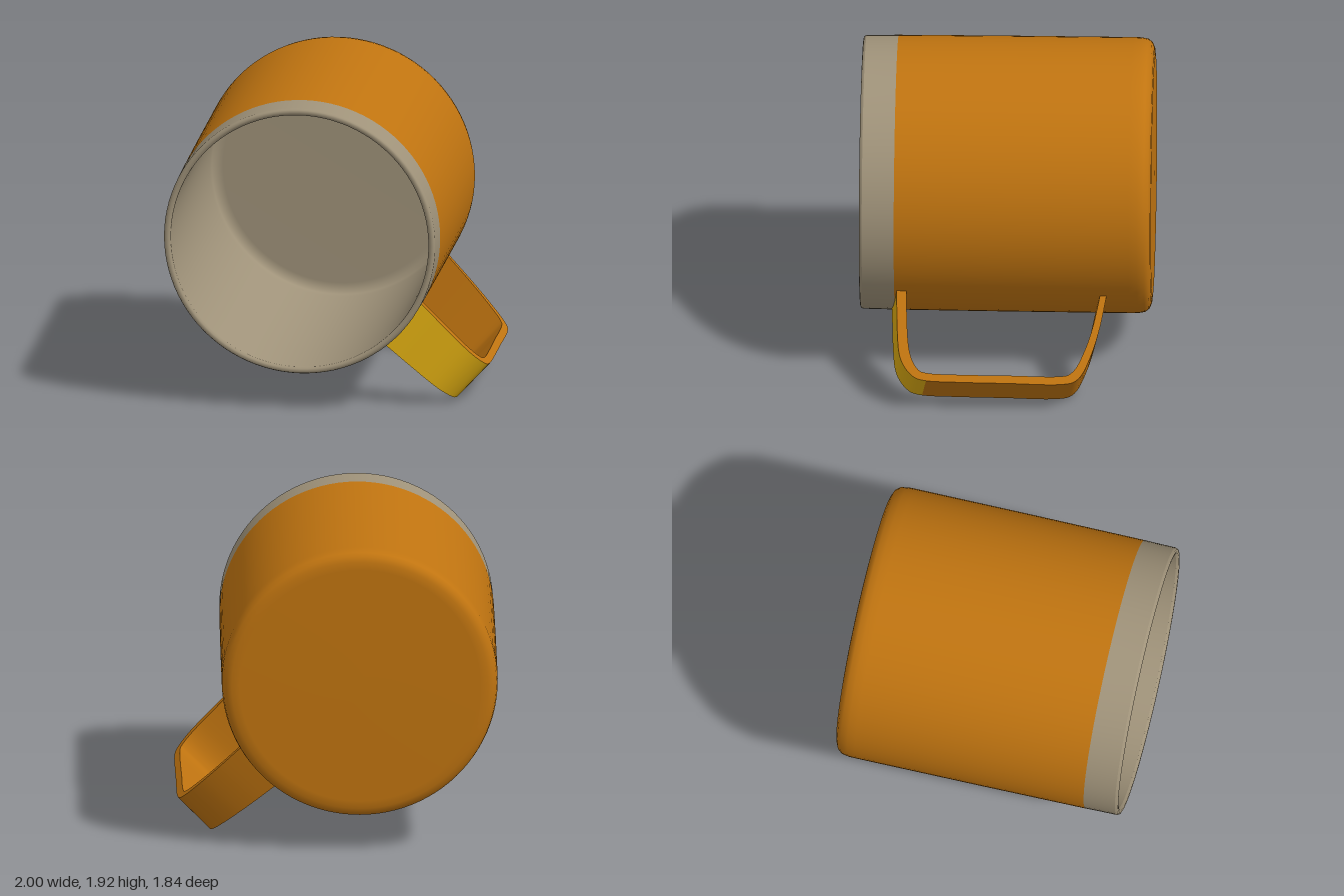
import * as THREE from 'three';

const V2 = (pts) => pts.map(([a, b]) => new THREE.Vector2(a, b));

// Surface of revolution about z, from [radius, z] pairs
function turned(name, profile, material) {
  const geo = new THREE.LatheGeometry(V2(profile), 96);
  geo.rotateX(Math.PI / 2);
  const mesh = new THREE.Mesh(geo, material);
  mesh.name = name;
  return mesh;
}

// Ribbon of quads between two rows of points
function strip(name, a, b, material) {
  const pos = [], index = [];
  a.forEach((p, i) => {
    pos.push(...p, ...b[i]);
    if (i < a.length - 1) {
      const k = 2 * i;
      index.push(k, k + 2, k + 1, k + 1, k + 2, k + 3);
    }
  });
  const geo = new THREE.BufferGeometry();
  geo.setAttribute('position', new THREE.Float32BufferAttribute(pos, 3));
  geo.setIndex(index);
  geo.computeVertexNormals();
  const mesh = new THREE.Mesh(geo, material);
  mesh.name = name;
  return mesh;
}

export function createModel() {
  const orange = new THREE.MeshStandardMaterial({ color: 0xc07410 });
  orange.name = 'orange glaze';
  const tan = new THREE.MeshStandardMaterial({ color: 0xa0937a });
  tan.name = 'tan clay';
  const yellow = new THREE.MeshStandardMaterial({ color: 0xe0ae12 });
  yellow.name = 'yellow glaze';

  const model = new THREE.Group();
  model.name = 'mug';

  // Barrel lying on its side, opening to the front, slightly turned
  const barrel = new THREE.Group();
  barrel.name = 'barrel';
  barrel.position.set(-0.134, 1.075, 0);
  barrel.rotation.y = -0.031;
  barrel.add(turned('outerWall', [
    [0, -0.908], [0.74, -0.907], [0.79, -0.902], [0.822, -0.888], [0.841, -0.863],
    [0.849, -0.82], [0.85, -0.77], [0.849, 0], [0.846, 0.675],
  ], orange));
  barrel.add(turned('rimBand', [[0.846, 0.675], [0.844, 0.78], [0.843, 0.872]], tan));
  barrel.add(turned('lip', [
    [0.843, 0.872], [0.836, 0.886], [0.825, 0.89], [0.811, 0.888], [0.801, 0.872],
  ], tan));
  barrel.add(turned('innerWall', [
    [0.801, 0.872], [0.797, 0.5], [0.792, -0.77], [0.785, -0.81], [0.76, -0.835], [0.72, -0.84], [0, -0.84],
  ], tan));
  model.add(barrel);

  // Handle: a flat band following [z, distance from the axis], front to back
  const sample = (pts) => new THREE.SplineCurve(V2(pts)).getPoints(60);
  const outer = sample([
    [0.695, 0.81], [0.692, 1.06], [0.675, 1.24], [0.61, 1.35], [0.52, 1.39], [0.3, 1.402], [0, 1.41],
    [-0.3, 1.418], [-0.42, 1.385], [-0.495, 1.25], [-0.555, 1.06], [-0.602, 0.825],
  ]);
  const inner = sample([
    [0.635, 0.81], [0.63, 1.06], [0.615, 1.21], [0.575, 1.305], [0.51, 1.342], [0.3, 1.354], [0, 1.36],
    [-0.29, 1.367], [-0.385, 1.34], [-0.45, 1.23], [-0.51, 1.06], [-0.562, 0.825],
  ]);
  const angle = THREE.MathUtils.degToRad(-43);
  const c = Math.cos(angle), s = Math.sin(angle);
  // One edge of the band; side is -1 (lower) or 1 (upper)
  const edge = (path, side) => path.map(({ x: z, y: r }) => {
    const w = side * THREE.MathUtils.mapLinear(r, 0.82, 1.42, 0.17, 0.143);
    return [-0.14 + r * c - w * s, 1.075 + r * s + w * c, z - 0.08 * w];
  });
  const outLow = edge(outer, -1), outHigh = edge(outer, 1);
  const inLow = edge(inner, -1), inHigh = edge(inner, 1);
  const split = outer.findIndex((p) => p.x < 0.53);

  const handle = new THREE.Group();
  handle.name = 'handle';
  handle.add(
    strip('handleFrontFace', outLow.slice(0, split + 1), outHigh.slice(0, split + 1), yellow),
    strip('handleOuterFace', outLow.slice(split), outHigh.slice(split), orange),
    strip('handleInnerFace', inHigh, inLow, orange),
    strip('handleUpperEdge', outHigh, inHigh, orange),
    strip('handleLowerEdge', inLow, outLow, orange),
  );
  model.add(handle);
  return model;
}
